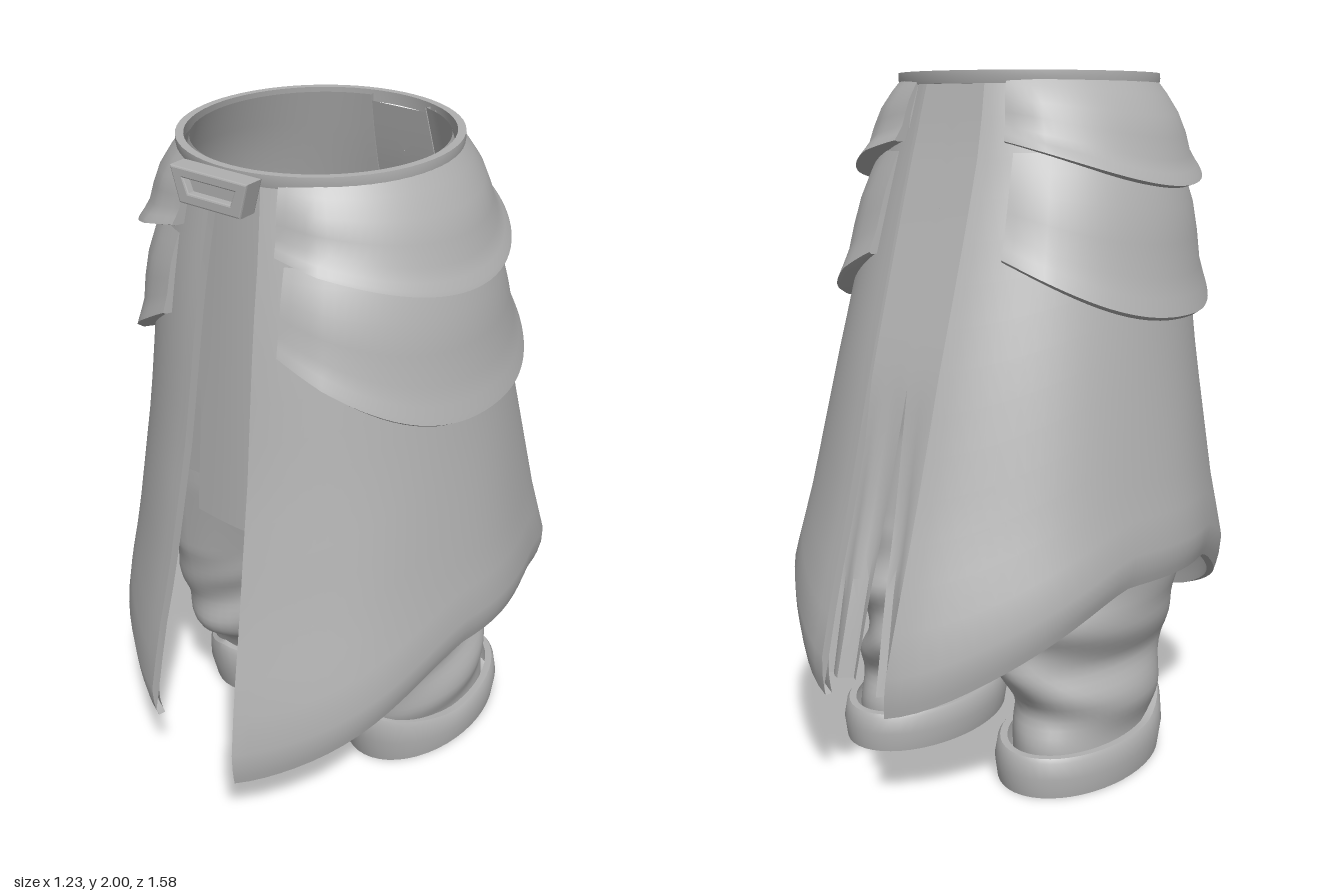
import * as THREE from 'three';
import { toCreasedNormals } from 'three/addons/utils/BufferGeometryUtils.js';

const clay = new THREE.MeshStandardMaterial({ color: 0xb0b0b0, side: THREE.DoubleSide });
clay.name = 'grey cloth';

const { sin, cos, PI, abs, max, min } = Math;
const lerp = THREE.MathUtils.lerp;
const clamp01 = v => min(1, max(0, v));

// Look up columns of a table keyed by descending y
function at(table, y) {
  let i = 0;
  while (i < table.length - 2 && y < table[i + 1][0]) i++;
  const a = table[i], b = table[i + 1];
  const t = clamp01((a[0] - y) / (a[0] - b[0]));
  return a.slice(1).map((v, k) => lerp(v, b[k + 1], t));
}

// Grid surface over rows and columns of a point rule
function grid(name, cols, rows, rule, crease = 0.8) {
  const pos = [], idx = [];
  for (let i = 0; i < cols; i++) for (let j = 0; j < rows; j++) pos.push(...rule(i, j));
  for (let i = 0; i < cols - 1; i++) for (let j = 0; j < rows - 1; j++) {
    const a = i * rows + j, b = a + rows;
    idx.push(a, a + 1, b, b, a + 1, b + 1);
  }
  const geo = new THREE.BufferGeometry();
  geo.setAttribute('position', new THREE.Float32BufferAttribute(pos, 3));
  geo.setIndex(idx);
  const mesh = new THREE.Mesh(toCreasedNormals(geo, crease), clay);
  mesh.name = name;
  return mesh;
}

// Coat body: y, half width, front reach, back reach
const BODY = [
  [2, 0.365, 0.45, 0.3], [1.8, 0.44, 0.5, 0.35], [1.6, 0.475, 0.55, 0.415],
  [1.2, 0.53, 0.63, 0.55], [0.8, 0.59, 0.73, 0.67], [0.6, 0.63, 0.79, 0.74], [0.3, 0.67, 0.86, 0.83],
];
function bodyPoint(side, th, y, off) {
  let [rx, zf, zb] = at(BODY, y);
  if (side < 0) zf -= 0.07 * (2 - y);
  const ripple = 0.006 * sin(th * 9) * max(0, 1.3 - y);
  return [
    side * (rx + off + ripple) * sin(th), y,
    (zf - zb) / 2 + ((zf + zb) / 2 + off + ripple) * cos(th),
  ];
}

// Thick wrapped cloth; profile holds [t, offset], bulges fade near the ends, which fold in
function wrap(name, side, profile, range, top, hem, inner) {
  const n = 40;
  return grid(name, n + 3, profile.length, (i, j) => {
    const u = clamp01((i - 1) / n);
    const [t, off] = profile[j];
    const y = lerp(top, hem(lerp(...range(0), u)), t);
    const th = lerp(...range((2 - y) / 1.7), u);
    const fade = off > 0 ? min(1, 0.5 + 5 * min(u, 1 - u)) : 1;
    const cap = i === 0 || i === n + 2;
    return bodyPoint(side, th, y, cap ? min(off, inner) : off * fade);
  });
}

// Trouser leg: y, inner x, outer x, back z, front z
const LEG = [
  [1.6, 0.0, 0.4, -0.3, 0.43], [1.3, 0.0, 0.41, -0.3, 0.43], [0.95, 0.005, 0.44, -0.31, 0.42],
  [0.7, 0.03, 0.46, -0.36, 0.4], [0.5, 0.03, 0.47, -0.41, 0.36], [0.42, 0.04, 0.46, -0.4, 0.33],
  [0.33, 0.05, 0.44, -0.41, 0.32], [0.26, 0.07, 0.46, -0.4, 0.25], [0.2, 0.09, 0.46, -0.38, 0.2],
  [0.12, 0.11, 0.45, -0.39, 0.17], [0, 0.11, 0.45, -0.4, 0.16],
];
const AXIS = -0.03, CROTCH = 1.02;

function leg(side) {
  const n = 48, m = 48;
  return grid('trouserLeg', n + 1, m + 1, (i, j) => {
    const th = (i / n) * PI * 2, y = CROTCH * (1 - j / m);
    const [a, b, zb, zf] = at(LEG, y);
    // slanting cloth folds near the ankle
    const fold = clamp01((0.7 - y) * 4) * clamp01(y * 5);
    const r = 1 + fold * (0.035 * sin(y * 32 + 2.4 * cos(th - 0.6)) + 0.025 * sin(y * 19 - 2 * sin(th)));
    // inner side flattens toward the crotch
    const s = sin(th);
    const power = lerp(1, 0.35, clamp01((y - 0.55) / 0.4));
    const across = s < 0 ? -(abs(s) ** power) : s;
    return [
      AXIS + side * ((a + b) / 2 + r * ((b - a) / 2) * across), y,
      (zf + zb) / 2 + r * ((zf - zb) / 2) * cos(th),
    ];
  }, 1.2);
}

// Half of the trouser seat, closing at the centre seam
function hip(side) {
  const n = 24, m = 10;
  return grid('trouserHip', n + 3, m + 1, (i, j) => {
    const y = lerp(1.6, CROTCH, j / m);
    const [a, b, zb, zf] = at(LEG, y);
    const th = clamp01((i - 1) / n) * PI;
    const seam = i === 0 || i === n + 2;
    const x = seam ? 0 : (a + b) / 2 + ((b - a) / 2) * sin(th);
    return [AXIS + side * x, y, (zf + zb) / 2 + ((zf - zb) / 2) * cos(th)];
  }, 1.2);
}

// Ankle gaiter with a pointed front
function gaiter(side) {
  const n = 48;
  const profile = [[0, -0.03], [0, -0.008], [0.1, 0], [0.5, 0.008], [1, 0]];
  return grid('gaiter', n + 1, profile.length, (i, j) => {
    const th = (i / n) * PI * 2 - PI;
    const [t, off] = profile[j];
    const point = max(0, 1 - abs(th) / 1.25);
    const y = (0.115 + 0.095 * point) * (1 - t);
    return [
      AXIS + side * (0.28 + (0.203 + off) * sin(th)), y,
      -0.13 + (0.325 + off) * cos(th) + 0.045 * point * (1 - t),
    ];
  });
}

// Back tail strip, split from its neighbour below the seat
function backTail(side) {
  const n = 6, m = 24;
  return grid('backTail', n + 1, m + 1, (i, j) => {
    const y = lerp(1.97, side > 0 ? 0.36 : 0.33, j / m);
    const split = max(0, (1.15 - y) / 0.8);
    const x0 = 0.01 + (side > 0 ? 0.045 : -0.03) * split;
    const x1 = side > 0 ? 0.16 : -0.13;
    const u = i / n;
    const zb = at(BODY, y)[2];
    return [lerp(x0, x1, u), y, -zb + 0.03 + 0.05 * split + 0.015 * split * sin(u * 9)];
  });
}

// Front buckle: tapered frame and plate
function buckle() {
  const group = new THREE.Group();
  group.name = 'buckle';
  const outline = (s, w0, w1, y0, y1) =>
    s.moveTo(-w0, y0).lineTo(w0, y0).lineTo(w1, y1).lineTo(-w1, y1).closePath();
  const frame = outline(new THREE.Shape(), 0.095, 0.12, 1.905, 1.99);
  frame.holes.push(outline(new THREE.Path(), 0.072, 0.09, 1.925, 1.972));
  const options = { depth: 0.05, bevelSize: 0.005, bevelThickness: 0.005, bevelSegments: 2 };
  const ring = new THREE.Mesh(new THREE.ExtrudeGeometry(frame, options), clay);
  ring.name = 'buckleFrame';
  ring.position.set(-0.01, 0, 0.468);
  const plate = new THREE.Mesh(new THREE.BoxGeometry(0.17, 0.07, 0.06), clay);
  plate.name = 'bucklePlate';
  plate.position.set(-0.01, 1.95, 0.47);
  group.add(ring, plate);
  return group;
}

export function createModel() {
  const model = new THREE.Group();
  model.name = 'coatSkirtAndTrousers';

  // Skirt cross-section: down the outside, curling in at the hem, then up the inside
  const skirtProfile = [];
  const curl = t => -0.035 * clamp01((t - 0.93) / 0.07) ** 1.5;
  const steps = [...Array(15).keys()].map(k => k / 15).concat(0.965, 0.985, 1);
  for (const t of steps) skirtProfile.push([t, curl(t)]);
  for (const t of steps.reverse()) skirtProfile.push([t, curl(t) - 0.022]);
  const skirtHem = th => 0.605 - 0.295 * max(0, (abs(cos(th)) - 0.28) / 0.68) ** 1.4;

  // Hip flap cross-section: bulging cloth with a rolled lip
  const flapProfile = (bulge, lip) => [
    [0, 0.003], [0.15, bulge * 0.5], [0.35, bulge * 0.9], [0.55, bulge], [0.75, bulge],
    [0.87, lerp(bulge, lip, 0.5)], [0.94, lip * 0.95], [0.98, lip], [1, lip * 0.7], [0.98, -0.01],
  ];

  for (const side of [1, -1]) {
    const range = side > 0
      ? f => [lerp(0.25, 0.34, f), PI - lerp(0.33, 0.19, f)]
      : f => [lerp(0.14, 0.27, f), PI - lerp(0.24, 0.14, f)];
    model.add(
      wrap('skirtPanel', side, skirtProfile, range, 1.99, skirtHem, -0.025),
      wrap('upperHipFlap', side, flapProfile(0.042, 0.068), () => [0.38, PI - 0.4], 1.985,
        th => 1.68 + 0.15 * abs(cos(th)) ** 2, -0.01),
      wrap('lowerHipFlap', side, flapProfile(0.034, 0.05), () => [0.42, PI - 0.45], 1.78,
        th => 1.32 + (cos(th) > 0 ? 0.3 : 0.23) * abs(cos(th)) ** 2.6, -0.01),
      hip(side), leg(side), gaiter(side), backTail(side),
    );
  }

  // Front apron between the skirt panels
  model.add(grid('frontApron', 9, 13, (i, j) => {
    const y = lerp(1.97, 0.94, j / 12), u = i / 8;
    const x = lerp(lerp(-0.1, -0.15, j / 12), lerp(0.13, 0.17, j / 12), u);
    return [x, y, lerp(0.425, 0.475, j / 12) + 0.012 * sin(u * PI)];
  }));

  // Waistband
  const band = [[1.965, -0.01], [1.965, 0.004], [1.985, 0.014], [2, 0.018], [2, -0.004], [1.965, -0.01]];
  model.add(grid('waistband', 65, band.length, (i, j) =>
    bodyPoint(1, (i / 64) * PI * 2, band[j][0], band[j][1])));

  model.add(buckle());
  return model;
}
